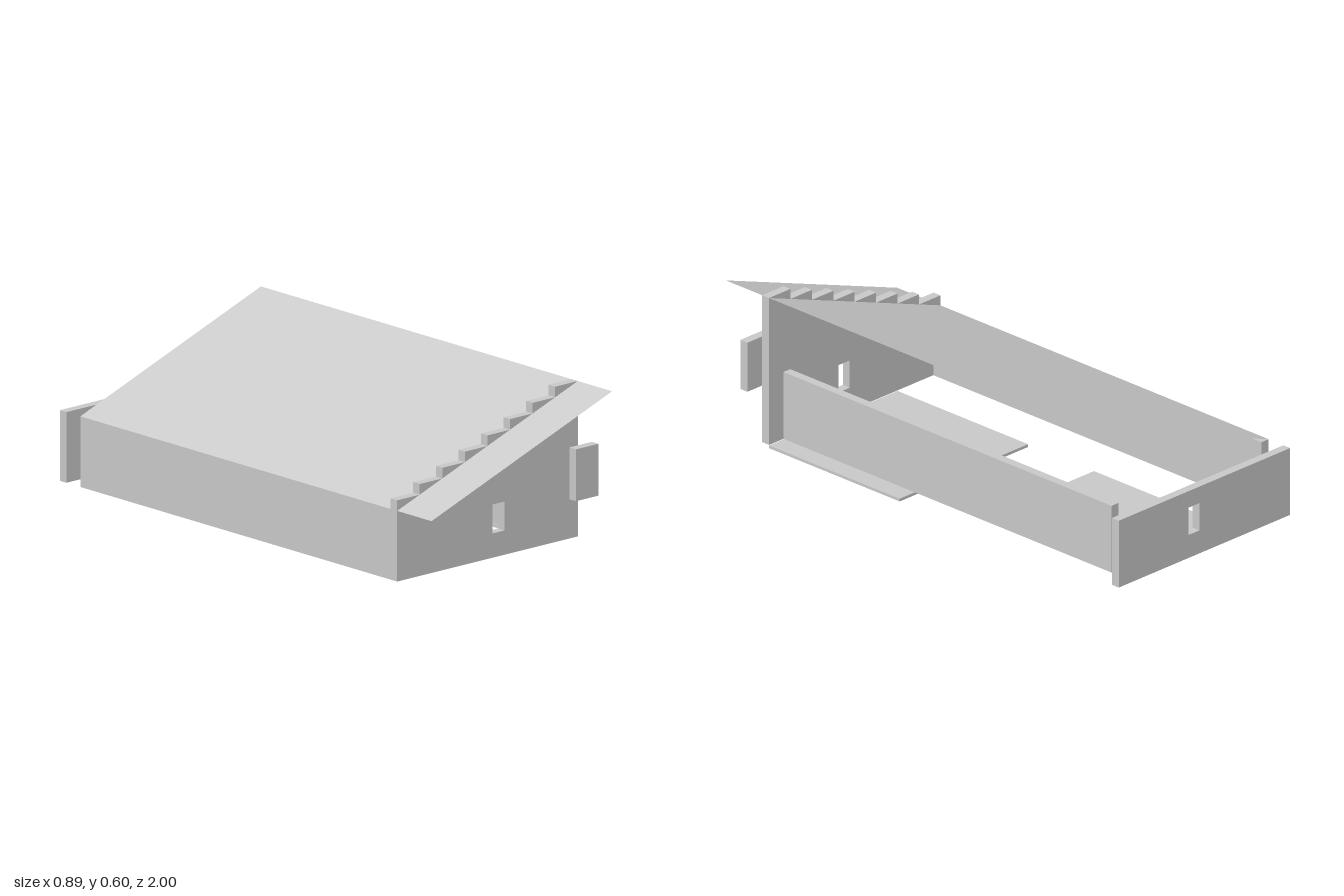
import * as THREE from 'three';

const BASE = 0.013;   // underside of the walls
const HALF = 0.445;   // half the width of the building
const EAVE = 0.28, RIDGE = 0.6;

const material = new THREE.MeshStandardMaterial({ color: 0xcccccc, flatShading: true });
const thinMaterial = new THREE.MeshStandardMaterial({ color: 0xcccccc, side: THREE.DoubleSide });

export function createModel() {
  const model = new THREE.Group();
  model.name = 'shed';

  const add = (name, geometry, mat = material) => {
    const mesh = new THREE.Mesh(geometry, mat);
    mesh.name = name;
    model.add(mesh);
    return mesh;
  };

  // Box given by its limits on each axis
  const box = (name, [x0, x1], [y0, y1], [z0, z1]) =>
    add(name, new THREE.BoxGeometry(x1 - x0, y1 - y0, z1 - z0))
      .position.set((x0 + x1) / 2, (y0 + y1) / 2, (z0 + z1) / 2);

  // Upright wall with a window hole, from an outline in x and y
  const windowWall = (name, outline, z0, z1) => {
    const shape = new THREE.Shape(outline.map(([x, y]) => new THREE.Vector2(x, y)));
    const hole = [[0.026, 0.105], [0.026, 0.214], [0.083, 0.214], [0.083, 0.105]];
    shape.holes.push(new THREE.Path(hole.map(([x, y]) => new THREE.Vector2(x, y))));
    const geometry = new THREE.ExtrudeGeometry(shape, { depth: z1 - z0, bevelEnabled: false });
    add(name, geometry.translate(0, 0, z0));
  };

  // Front gable wall with a stepped top
  const steps = 8;
  const outline = [[-HALF, BASE], [HALF, BASE]];
  for (let i = steps; i > 0; i--) {
    const y = EAVE + ((RIDGE - EAVE) * i) / steps;
    outline.push([-HALF + (2 * HALF * i) / steps, y], [-HALF + (2 * HALF * (i - 1)) / steps, y]);
  }
  windowWall('frontWall', outline, 0.78, 0.815);

  // Low back wall, standing clear of the side walls
  windowWall('backWall', [[-HALF, BASE], [HALF, BASE], [HALF, EAVE], [-HALF, EAVE]], -1, -0.965);

  // Long side walls; the left one is set in
  box('leftWall', [0.335, 0.37], [BASE, EAVE], [-0.89, 0.78]);
  box('rightWall', [-HALF, -0.408], [BASE, EAVE], [-0.89, 0.78]);

  // Thin floor plates
  box('floorPlateLeft', [0.335, HALF], [0, 0.011], [0.115, 0.78]);
  box('floorPlateFront', [-0.222, 0.111], [0, 0.011], [0.115, 0.78]);
  box('floorPlateBack', [-0.222, 0.111], [0, 0.011], [-0.89, -0.22]);

  // Free-standing panel ahead of the front wall
  box('frontPanel', [0.335, HALF], [0.19, 0.386], [0.89, 0.926]);

  // Single-pitch roof sheet, rising to the left and overhanging the front
  const roof = new THREE.PlaneGeometry(Math.hypot(2 * HALF, RIDGE - EAVE), 1.89);
  roof.rotateX(-Math.PI / 2);
  roof.rotateZ(Math.atan2(RIDGE - EAVE, 2 * HALF));
  add('roof', roof, thinMaterial).position.set(0, (EAVE + RIDGE) / 2, 0.055);

  return model;
}
